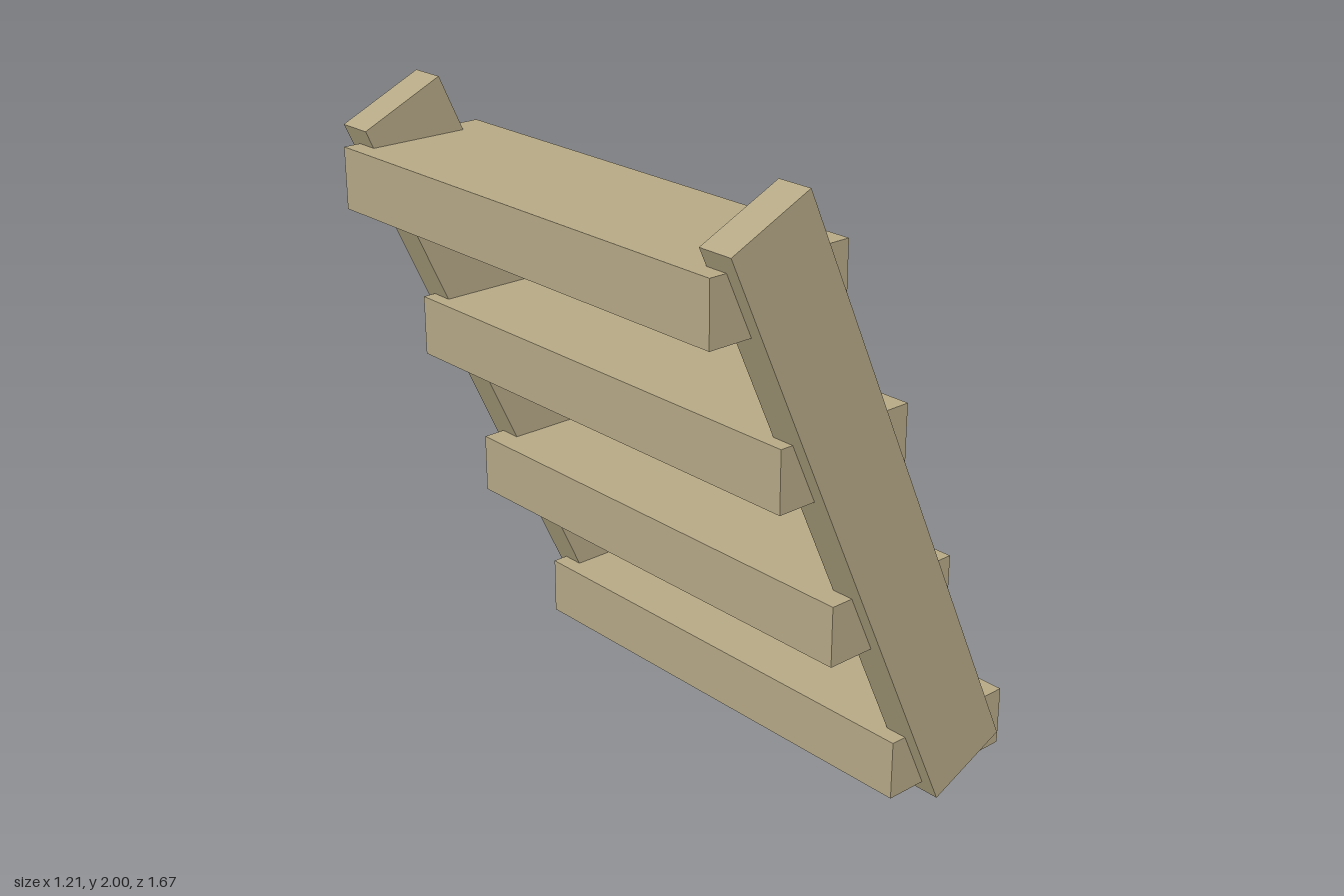
import * as THREE from 'three';

export function createModel() {
  const model = new THREE.Group();
  model.name = 'openStaircase';

  const wood = new THREE.MeshStandardMaterial({ color: 0xb5a885 });
  wood.name = 'paleWood';

  function plank(name, size, position, tilt = 0) {
    const mesh = new THREE.Mesh(new THREE.BoxGeometry(...size), wood);
    mesh.name = name;
    mesh.position.set(...position);
    mesh.rotation.z = tilt;
    model.add(mesh);
  }

  // Two slanted side boards
  for (const [name, side] of [['frontStringer', 1], ['backStringer', -1]]) {
    plank(name, [0.291, 2.067, 0.114], [-0.013, 1, side * 0.776], 0.43);
  }

  // Four level steps, from bottom to top, let into the side boards
  const steps = [[0.366, 0.139], [0.095, 0.681], [-0.116, 1.211], [-0.368, 1.731]];
  steps.forEach(([x, y], i) => {
    plank(`step${i + 1}`, [0.477, 0.188, 1.582], [x, y, 0]);
  });

  return model;
}
